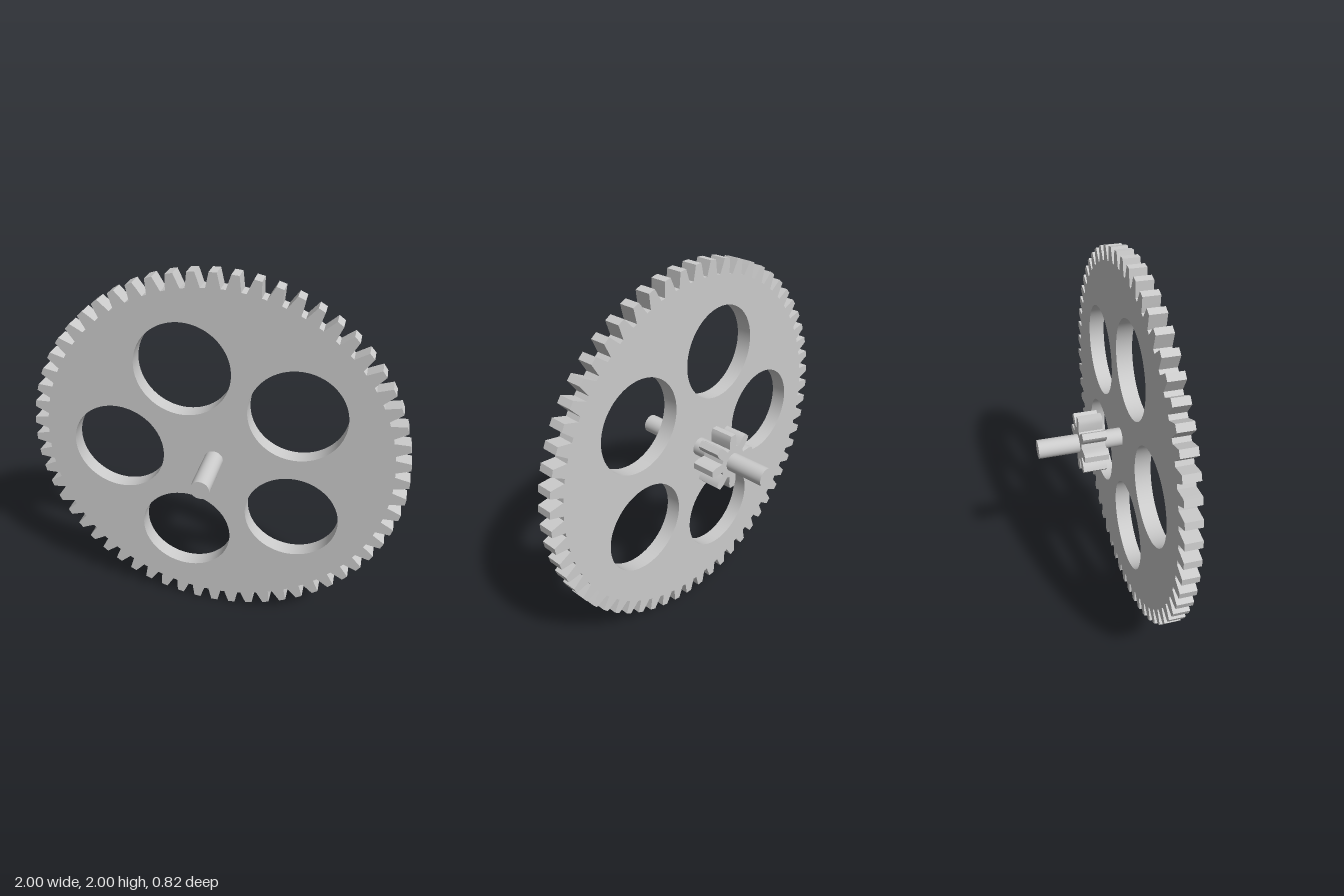
import * as THREE from 'three';
import { toCreasedNormals } from 'three/addons/utils/BufferGeometryUtils.js';

const material = new THREE.MeshStandardMaterial({ color: 0xcccccc });

// Toothed outline; profile lists [radius, half width] from tooth root to tip
function gearShape(teeth, profile) {
  const points = [];
  for (let i = 0; i < teeth; i++) {
    const a = (i / teeth) * Math.PI * 2;
    const add = (r, offset) => points.push(
      new THREE.Vector2(r, 0).rotateAround(new THREE.Vector2(), a + Math.asin(offset / r)));
    profile.forEach(([r, w]) => add(r, -w));
    [...profile].reverse().forEach(([r, w]) => add(r, w));
  }
  return new THREE.Shape(points);
}

// Extrudes a shape along z between two depths
function plate(name, shape, zBack, zFront) {
  const geometry = new THREE.ExtrudeGeometry(shape, {
    depth: zFront - zBack, bevelEnabled: false, curveSegments: 48,
  });
  geometry.translate(0, 1, zBack);
  const mesh = new THREE.Mesh(toCreasedNormals(geometry, Math.PI / 9), material);
  mesh.name = name;
  return mesh;
}

export function createModel() {
  const group = new THREE.Group();
  group.name = 'gearAndPinion';

  // Large wheel with five round lightening holes
  const wheel = gearShape(60, [[0.925, 0.036], [0.965, 0.027], [1, 0.019]]);
  for (let i = 0; i < 5; i++) {
    const a = Math.PI + (i * Math.PI * 2) / 5;
    const hole = new THREE.Path();
    hole.absarc(Math.cos(a) * 0.522, Math.sin(a) * 0.522, 0.25, 0, Math.PI * 2, true);
    wheel.holes.push(hole);
  }
  group.add(plate('largeGear', wheel, 0.04, 0.125));

  // Small eight-tooth pinion behind the wheel
  const pinion = gearShape(8, [[0.088, 0.024], [0.13, 0.026], [0.148, 0.022], [0.161, 0.016]]);
  group.add(plate('pinion', pinion, -0.192, -0.065));

  // Axle through both gears
  const axle = new THREE.Mesh(new THREE.CylinderGeometry(0.05, 0.05, 0.82, 48), material);
  axle.name = 'axle';
  axle.rotation.x = Math.PI / 2;
  axle.position.y = 1;
  group.add(axle);

  return group;
}
